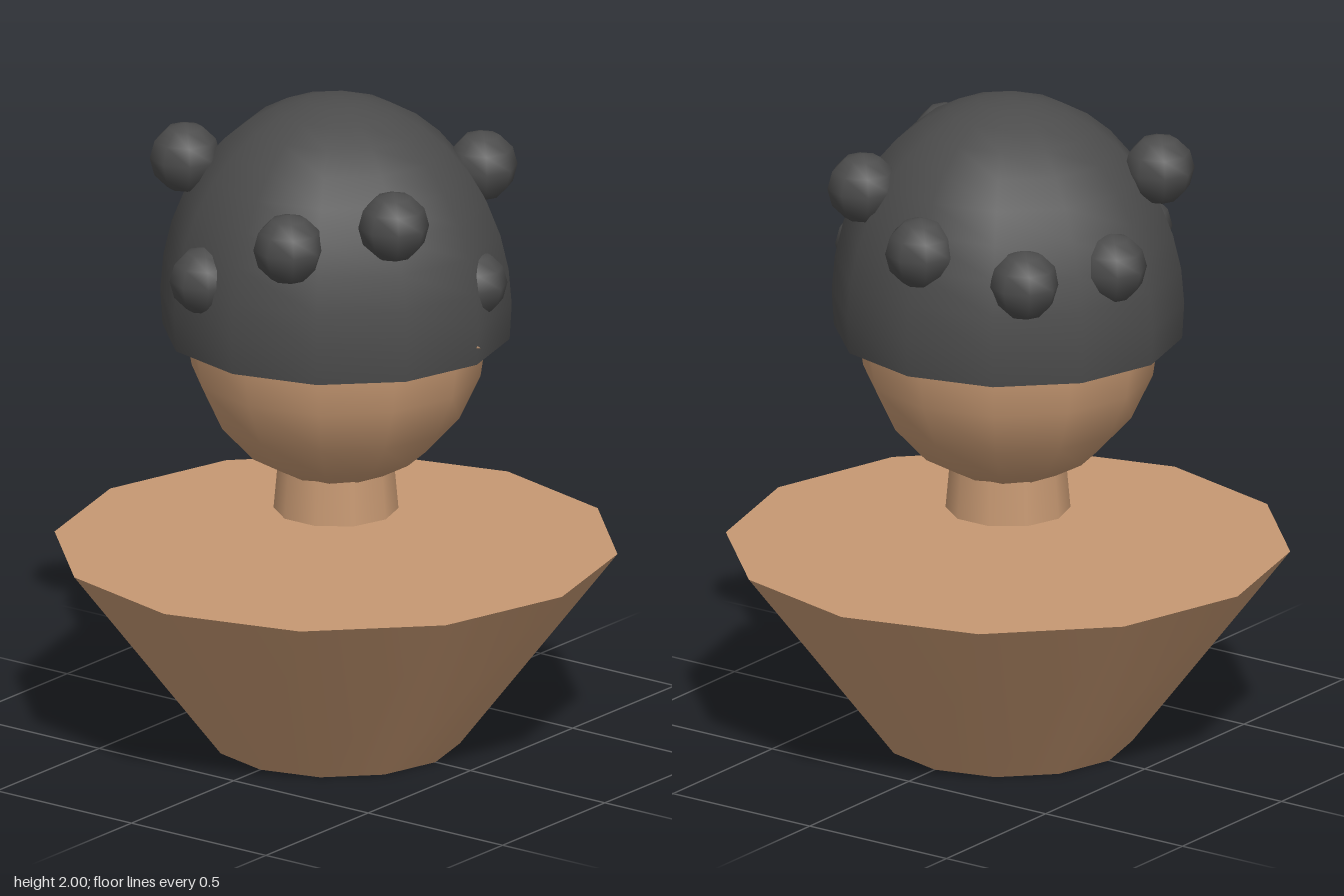
import * as THREE from 'three';

export function createModel() {
  const model = new THREE.Group();
  const skin = new THREE.MeshStandardMaterial({ color: 0xc69872 });
  skin.name = 'skin';
  const charcoal = new THREE.MeshStandardMaterial({ color: 0x4c4c4c, side: THREE.DoubleSide });
  charcoal.name = 'charcoal';

  const add = (name, geometry, material, x, y, z, parent = model) => {
    const mesh = new THREE.Mesh(geometry, material);
    mesh.name = name;
    mesh.position.set(x, y, z);
    parent.add(mesh);
    return mesh;
  };

  // Twelve-sided tapered shoulders, wide at the top
  add('shoulders', new THREE.CylinderGeometry(0.84, 0.37, 0.61, 12), skin, 0, 0.305, 0);

  // Short neck under an egg-shaped head
  add('neck', new THREE.CylinderGeometry(0.167, 0.185, 0.2, 10), skin, 0, 0.82, 0);
  add('head', new THREE.SphereGeometry(1, 12, 10), skin, 0, 1.3, 0).scale.set(0.45, 0.49, 0.455);

  // Nose, almost fully covered by the hair
  add('nose', new THREE.ConeGeometry(0.04, 0.12, 6), skin, 0, 1.325, 0.478).rotation.x = Math.PI / 2;

  // Open hair shell, cut just below its widest ring
  const hair = new THREE.SphereGeometry(1, 12, 10, 0, Math.PI * 2, 0, Math.PI * 0.55);
  add('hair', hair, charcoal, 0, 1.369, 0).scale.set(0.512, 0.631, 0.53);

  // Curls half sunk into the hair: x, y, z, radius
  const curls = new THREE.Group();
  curls.name = 'curls';
  model.add(curls);
  const curlGeometry = new THREE.SphereGeometry(1, 8, 6);
  [
    [-0.225, 1.795, -0.39, 0.106],
    [0.09, 1.585, -0.445, 0.105],
    [0.345, 1.575, -0.31, 0.105],
    [0.44, 1.64, 0, 0.107],
    [0.337, 1.757, 0.287, 0.106],
    [0.09, 1.485, 0.445, 0.1],
    [-0.228, 1.735, 0.388, 0.106],
    [-0.428, 1.67, 0.15, 0.106],
    [-0.43, 1.51, -0.165, 0.102],
  ].forEach(([x, y, z, r]) => add('curl', curlGeometry, charcoal, x, y, z, curls).scale.setScalar(r));

  return model;
}
